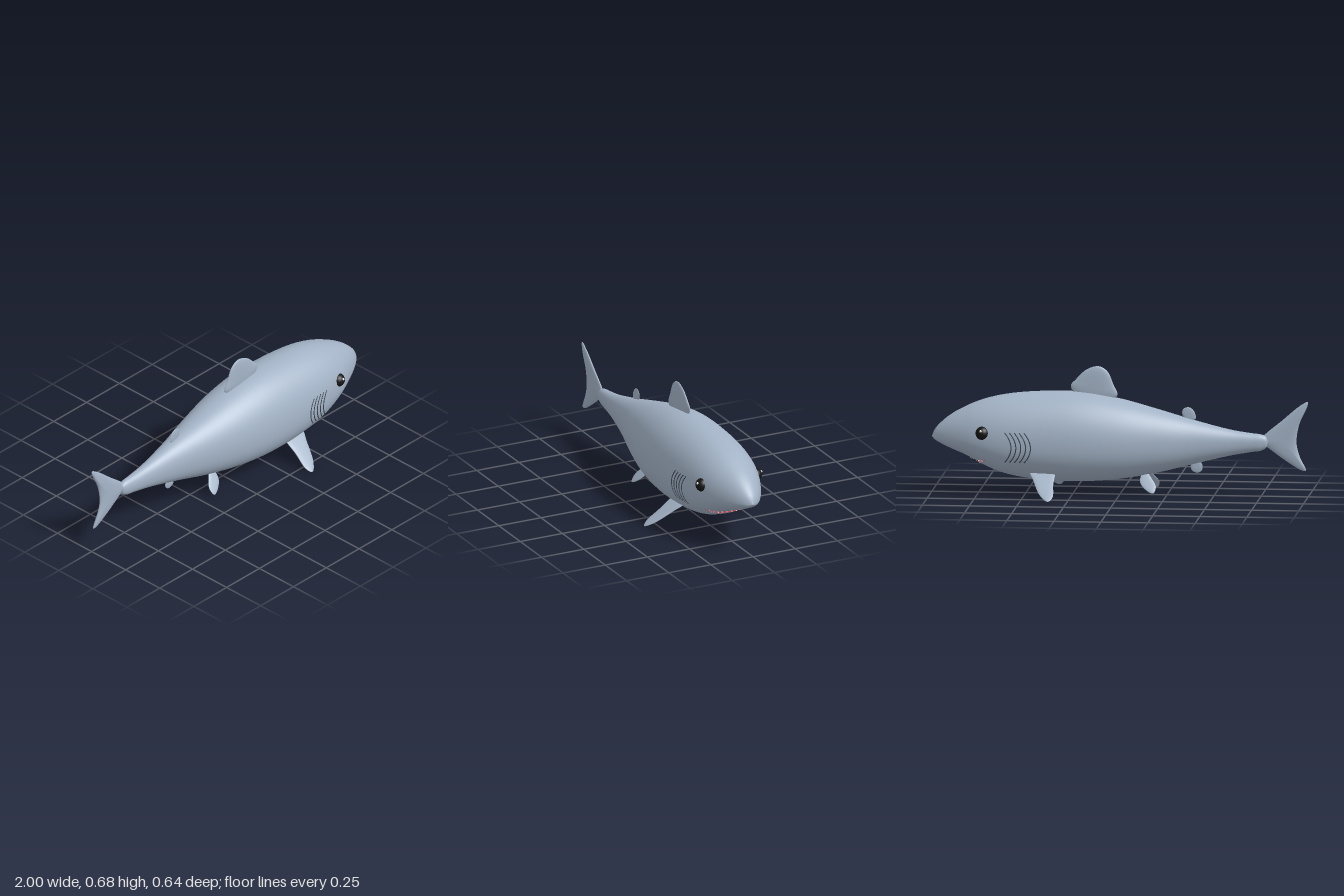
import * as THREE from 'three';
import { mergeVertices } from 'three/addons/utils/BufferGeometryUtils.js';

const mat = (name, color, side = THREE.FrontSide) => {
  const m = new THREE.MeshStandardMaterial({ color, side });
  m.name = name;
  return m;
};

// Smooth surface from fn(row, column) -> Vector3; coincident points are welded
function grid(rows, cols, fn, skipRow = -1) {
  const pos = [], index = [];
  for (let i = 0; i <= rows; i++)
    for (let j = 0; j <= cols; j++) pos.push(...fn(i, j).toArray());
  for (let i = 0; i < rows; i++) {
    if (i === skipRow) continue;
    for (let j = 0; j < cols; j++) {
      const a = i * (cols + 1) + j, b = a + cols + 1;
      index.push(a, b, a + 1, b, b + 1, a + 1);
    }
  }
  let g = new THREE.BufferGeometry();
  g.setAttribute('position', new THREE.Float32BufferAttribute(pos, 3));
  g.setIndex(index);
  g = mergeVertices(g, 1e-5);
  g.computeVertexNormals();
  return g;
}

// Body stations: x, top, bottom, height of widest line, half width
const stations = [
  [-0.79, 0.297, 0.297, 0.297, 0], [-0.782, 0.318, 0.272, 0.296, 0.016],
  [-0.76, 0.332, 0.253, 0.295, 0.025], [-0.7, 0.341, 0.241, 0.292, 0.034],
  [-0.6, 0.356, 0.223, 0.29, 0.046], [-0.4, 0.405, 0.175, 0.29, 0.085],
  [-0.2, 0.462, 0.125, 0.288, 0.139], [0, 0.515, 0.09, 0.283, 0.184],
  [0.2, 0.548, 0.075, 0.28, 0.207], [0.4, 0.55, 0.08, 0.28, 0.209],
  [0.6, 0.532, 0.11, 0.288, 0.196], [0.7, 0.51, 0.147, 0.297, 0.178],
  [0.757, 0.491, 0.175, 0.3, 0.162], [0.8, 0.473, 0.2, 0.302, 0.146],
  [0.9, 0.418, 0.242, 0.304, 0.096], [0.96, 0.367, 0.27, 0.303, 0.055],
  [0.985, 0.336, 0.285, 0.301, 0.029], [1, 0.3, 0.3, 0.3, 0],
];
const profile = new THREE.CubicInterpolant(stations.map(s => s[0]), stations.flatMap(s => s.slice(1)), 4);
const power = (v, p) => Math.sign(v) * Math.abs(v) ** p;

// Point on the body; angle is measured from the belly line
function bodyPoint(x, angle) {
  const [top, bottom, mid, width] = profile.evaluate(x);
  const c = Math.cos(angle), s = Math.sin(angle), p = c > 0 ? 0.87 : 0.98;
  return new THREE.Vector3(x, mid - power(c, p) * (c > 0 ? mid - bottom : top - mid), Math.max(0, width) * power(s, p));
}

// Half width of the body at a given length and height
function bodyZ(x, y) {
  const [top, bottom, mid, width] = profile.evaluate(x);
  const v = Math.abs(y > mid ? (y - mid) / (top - mid) : (mid - y) / (mid - bottom));
  const n = y > mid ? 2.04 : 2.3;
  return width * Math.max(0, 1 - v ** n) ** (1 / n);
}

// Mouth opening: 1 on the belly line, 0 at and beyond the corners
const CORNER = Math.PI * 50 / 180;
const gape = a => Math.max(0, 1 - (a / CORNER) ** 2);
const lowerLip = a => 0.70 + 0.055 * gape(a);
const upperLip = a => 0.70 + 0.10 * gape(a);

// Pillow-shaped fin from an outline; lean pushes it sideways as it goes down
function finGeometry(outline, center, thick, lean = 0, z0 = 0, y0 = 0) {
  const curve = new THREE.CatmullRomCurve3(outline.map(p => new THREE.Vector3(p[0], p[1], 0)), true);
  const pts = curve.getPoints(64);
  if (THREE.ShapeUtils.area(pts) < 0) pts.reverse();
  return grid(16, 64, (i, j) => {
    const phi = Math.PI * i / 16, s = Math.max(0, Math.sin(phi)) ** 0.7;
    const x = center[0] + (pts[j].x - center[0]) * s, y = center[1] + (pts[j].y - center[1]) * s;
    return new THREE.Vector3(x, y, thick * Math.cos(phi) + z0 + lean * (y0 - y));
  });
}

export function createModel() {
  const model = new THREE.Group();
  const skin = mat('blue grey skin', 0xa3b3c6);
  const red = mat('mouth red', 0xb03a48, THREE.DoubleSide);
  const black = mat('eye black', 0x151515);
  const white = mat('tooth white', 0xf0f0ee);
  const dark = mat('gill slate', 0x3c4754);
  const add = (name, geometry, material) => {
    const m = new THREE.Mesh(geometry, material);
    m.name = name;
    model.add(m);
    return m;
  };

  // Body, with rows that part at the lips
  const REAR = 56, FRONT = 28, COLS = 72;
  add('body', grid(REAR + FRONT + 1, COLS, (i, j) => {
    let a = 2 * Math.PI * j / COLS;
    if (a > Math.PI) a -= 2 * Math.PI;
    const x = i <= REAR
      ? THREE.MathUtils.lerp(-0.79, lowerLip(a), (i / REAR) ** 1.5)
      : THREE.MathUtils.lerp(1, upperLip(a), (1 - (i - REAR - 1) / FRONT) ** 1.8);
    return bodyPoint(x, a);
  }, REAR), skin);

  // Hollow mouth between the lips
  add('mouth', grid(2, 40, (i, j) => {
    const a = CORNER * (j / 20 - 1);
    const low = bodyPoint(lowerLip(a), a), up = bodyPoint(upperLip(a), a);
    if (i === 0) return low;
    if (i === 2) return up;
    return low.lerp(up, 0.5).add(new THREE.Vector3(-0.07 * gape(a), 0.01 * gape(a), 0));
  }), red);

  // Teeth along both lips
  const toothShape = new THREE.ConeGeometry(0.004, 0.014, 8);
  for (let k = -5; k <= 5; k++) {
    const a = CORNER * k / 6.5;
    const upper = add('upperTooth', toothShape, white);
    upper.position.copy(bodyPoint(upperLip(a), a)).add(new THREE.Vector3(-0.007, -0.003, 0));
    upper.rotation.z = Math.PI;
    const lower = add('lowerTooth', toothShape, white);
    lower.position.copy(bodyPoint(lowerLip(a), a)).add(new THREE.Vector3(-0.005, 0.005, 0));
  }

  // Fins on the centre line
  add('dorsalFin', finGeometry([[0.015, 0.53], [0.035, 0.59], [0.068, 0.661], [0.115, 0.687], [0.18, 0.667],
    [0.235, 0.615], [0.261, 0.583], [0.245, 0.545], [0.13, 0.5]], [0.13, 0.57], 0.013), skin);
  add('secondDorsalFin', finGeometry([[-0.402, 0.415], [-0.392, 0.455], [-0.365, 0.475], [-0.335, 0.464],
    [-0.331, 0.435], [-0.36, 0.395]], [-0.365, 0.43], 0.005), skin);
  add('analFin', finGeometry([[-0.432, 0.18], [-0.438, 0.145], [-0.415, 0.125], [-0.382, 0.137],
    [-0.376, 0.17], [-0.4, 0.2]], [-0.405, 0.16], 0.005), skin);
  add('tailFin', finGeometry([[-0.998, 0.513], [-0.955, 0.49], [-0.86, 0.41], [-0.765, 0.33], [-0.74, 0.295],
    [-0.785, 0.265], [-0.875, 0.2], [-0.965, 0.146], [-0.988, 0.144], [-0.955, 0.22], [-0.938, 0.29],
    [-0.952, 0.39], [-0.996, 0.49]], [-0.87, 0.3], 0.013), skin);

  for (const side of [1, -1]) {
    const label = side > 0 ? 'front' : 'back';
    // Paired fins, splayed outward
    add(label + 'PectoralFin', finGeometry([[0.335, 0.15], [0.333, 0.08], [0.329, 0.025], [0.352, 0.005],
      [0.4, 0.034], [0.443, 0.1], [0.464, 0.137], [0.4, 0.165]], [0.385, 0.09], 0.012,
    1.37 * side, 0.15 * side, 0.127), skin);
    add(label + 'PelvicFin', finGeometry([[-0.118, 0.115], [-0.115, 0.08], [-0.15, 0.042], [-0.188, 0.028],
      [-0.2, 0.06], [-0.175, 0.1], [-0.145, 0.13]], [-0.155, 0.08], 0.006,
    0.75 * side, 0.075 * side, 0.085), skin);

    // Eye with a small glint
    add(label + 'Eye', new THREE.SphereGeometry(0.037, 28, 20), black).position.set(0.715, 0.342, 0.156 * side);
    add(label + 'EyeGlint', new THREE.SphereGeometry(0.007, 14, 10), white).position.set(0.722, 0.357, 0.188 * side);

    // Curved gill slits lying on the skin
    for (let k = 0; k < 5; k++) {
      const path = [];
      for (let t = -1; t <= 1.01; t += 0.25) {
        const x = 0.455 + k * 0.026 + 0.035 * t * t, y = 0.272 + 0.08 * t;
        path.push(new THREE.Vector3(x, y, side * bodyZ(x, y)));
      }
      add(label + 'Gill', new THREE.TubeGeometry(new THREE.CatmullRomCurve3(path), 24, 0.003, 6), dark);
    }
  }
  return model;
}
